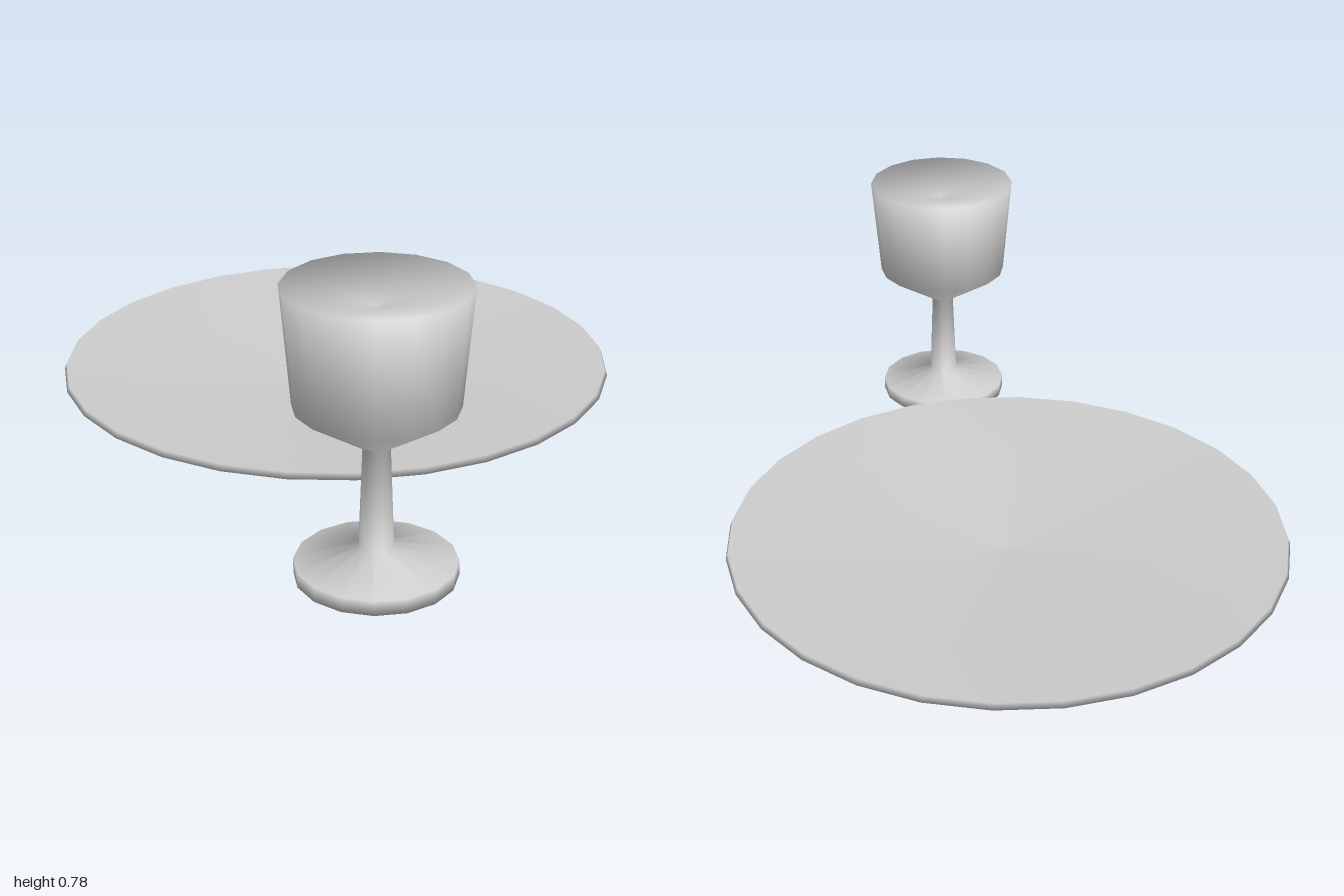
import * as THREE from 'three';

const material = new THREE.MeshStandardMaterial({ color: 0xcccccc });

// Closed, smooth turned part from a [radius, height] profile, listed bottom to top
function turned(name, profile, sides, x, z) {
  const points = profile.map(([r, y]) => new THREE.Vector2(r, y));
  const mesh = new THREE.Mesh(new THREE.LatheGeometry(points, sides), material);
  mesh.name = name;
  mesh.position.set(x, 0, z);
  return mesh;
}

export function createModel() {
  const group = new THREE.Group();
  group.name = 'plateAndGoblet';

  // Wide plate: flat underside, flared side, thin rim, shallow dished top
  group.add(turned('plate', [
    [0, 0], [0.565, 0], [0.69, 0.057], [0.84, 0.102], [0.833, 0.12], [0, 0.045],
  ], 28, -0.16, -0.05));

  // Goblet: disc foot, slim stem, flared bowl with a shallow hollow
  group.add(turned('goblet', [
    [0, 0], [0.21, 0], [0.21, 0.04], [0.045, 0.083], [0.035, 0.353],
    [0.21, 0.465], [0.2375, 0.777], [0, 0.72],
  ], 16, 0.7625, 0.6525));

  return group;
}
